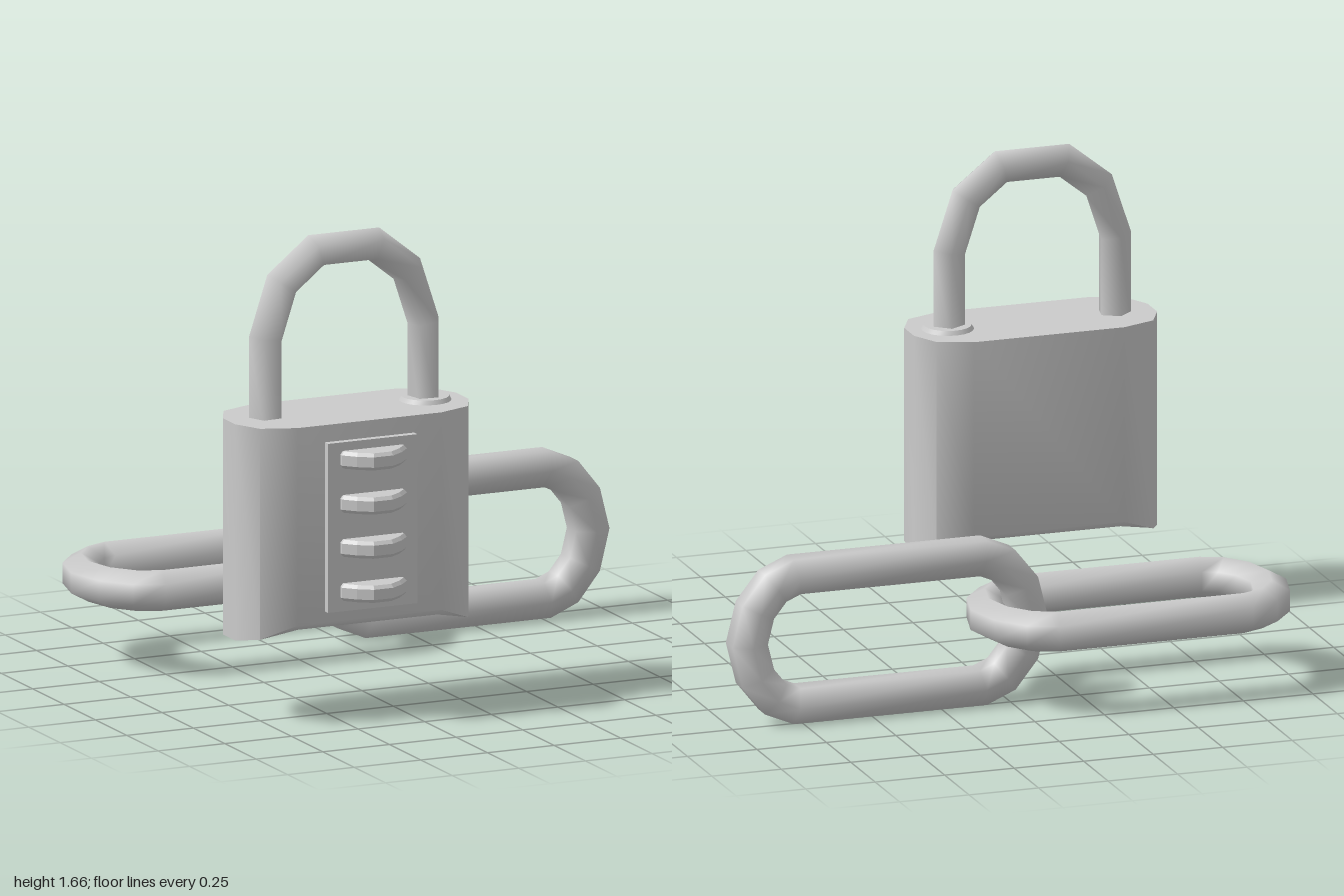
import * as THREE from 'three';
import { toCreasedNormals } from 'three/addons/utils/BufferGeometryUtils.js';

const material = new THREE.MeshStandardMaterial({ color: 0xcccccc, side: THREE.DoubleSide });

function addMesh(parent, name, geometry, x = 0, y = 0, z = 0) {
  const mesh = new THREE.Mesh(geometry, material);
  mesh.name = name;
  mesh.position.set(x, y, z);
  parent.add(mesh);
  return mesh;
}

// Skin a series of equal-sized rings of points
function loft(rings, closed = false) {
  const n = rings[0].length, index = [];
  const spans = closed ? rings.length : rings.length - 1;
  for (let k = 0; k < spans; k++) {
    const k2 = (k + 1) % rings.length;
    for (let i = 0; i < n; i++) {
      const j = (i + 1) % n;
      const a = k * n + i, b = k * n + j, c = k2 * n + i, d = k2 * n + j;
      index.push(a, b, c, b, d, c);
    }
  }
  const geometry = new THREE.BufferGeometry();
  geometry.setAttribute('position', new THREE.Float32BufferAttribute(rings.flat(2), 3));
  geometry.setIndex(index);
  geometry.computeVertexNormals();
  return geometry;
}

// Sweep a regular polygon along a clockwise path in the xy plane, with mitred corners
function sweep(path, radius, sides, turn, closed) {
  const pts = path.map(([x, y]) => new THREE.Vector2(x, y));
  const last = pts.length - 1;
  const rings = pts.map((p, k) => {
    const prev = closed || k > 0 ? pts[(k + last) % pts.length] : null;
    const next = closed || k < last ? pts[(k + 1) % pts.length] : null;
    const before = (prev ? p.clone().sub(prev) : next.clone().sub(p)).normalize();
    const after = (next ? next.clone().sub(p) : p.clone().sub(prev)).normalize();
    const along = before.clone().add(after).normalize();
    const mitre = 1 / along.dot(after);
    return Array.from({ length: sides }, (_, i) => {
      const t = turn + (i / sides) * Math.PI * 2;
      const h = radius * Math.cos(t) * mitre;
      return [p.x - along.y * h, p.y + along.x * h, radius * Math.sin(t)];
    });
  });
  return loft(rings, closed);
}

// Mirror a quarter outline into a full counter-clockwise loop
function mirrorQuarter(quarter) {
  const half = [...quarter, ...[...quarter].reverse().map(([x, y]) => [-x, y])];
  const full = [...half, ...[...half].reverse().map(([x, y]) => [x, -y])];
  return full.filter(([x, y], i) => {
    const [px, py] = full[(i + full.length - 1) % full.length];
    return Math.hypot(x - px, y - py) > 1e-6;
  });
}

function bodyGeometry() {
  const outline = mirrorQuarter([[0.4375, 0.05], [0.39, 0.145], [0.27, 0.19]]);
  // The lower edge dips towards both ends
  const edgeY = (x) => 0.29 + 0.065 * Math.min(1, (0.4375 - Math.abs(x)) / 0.1675);
  const ring = (sx, sz, y) => outline.map(([x, z]) => [x * sx, y(x), z * sz]);
  const rings = [
    ring(0, 0, () => 1.045),
    ring(1, 1, () => 1.045),
    ring(1, 1, edgeY),
    ring(0.97, 0.92, (x) => edgeY(x) - (Math.abs(x) < 0.3 ? 0.018 : 0)),
    ring(0.88, 0.84, () => 0.375),
    ring(0, 0, () => 0.375),
  ];
  return toCreasedNormals(loft(rings), 0.8);
}

function dialGeometry() {
  const shape = new THREE.Shape([
    [-0.112, -0.02], [-0.112, 0.01], [-0.078, 0.047], [-0.033, 0.078],
    [0.033, 0.078], [0.078, 0.047], [0.112, 0.01], [0.112, -0.02],
  ].map(([x, z]) => new THREE.Vector2(x, z)));
  const geometry = new THREE.ExtrudeGeometry(shape, {
    depth: 0.036, bevelEnabled: true, bevelThickness: 0.012, bevelSize: 0.01, bevelSegments: 1,
  });
  geometry.translate(0, 0, -0.018);
  geometry.rotateX(Math.PI / 2);
  return geometry;
}

export function createModel() {
  const model = new THREE.Group();
  model.name = 'padlockAndChain';

  // Padlock
  const padlock = new THREE.Group();
  padlock.name = 'padlock';
  model.add(padlock);
  addMesh(padlock, 'lockBody', bodyGeometry(), -0.4075, 0, 0.455);

  // Shackle, mirrored about its middle
  const leftSide = [[-0.298, 1.0], [-0.298, 1.32], [-0.238, 1.503], [-0.113, 1.603]];
  const arch = [...leftSide, ...[...leftSide].reverse().map(([x, y]) => [-x, y])];
  addMesh(padlock, 'shackle', sweep(arch, 0.058, 5, -0.21, false), -0.407, 0, 0.45);
  addMesh(padlock, 'shackleCollar',
    toCreasedNormals(new THREE.CylinderGeometry(0.082, 0.095, 0.025, 20), 0.6), -0.107, 1.0475, 0.45);

  // Combination panel and number dials
  addMesh(padlock, 'dialPlate', new THREE.BoxGeometry(0.335, 0.59, 0.04), -0.4075, 0.69, 0.651);
  const dial = dialGeometry();
  for (let i = 0; i < 4; i++) {
    addMesh(padlock, `dial${i + 1}`, dial, -0.4075, 0.925 - i * 0.154, 0.67);
  }

  // Two interlocked chain links
  const chain = new THREE.Group();
  chain.name = 'chain';
  model.add(chain);
  const linkPath = mirrorQuarter([[0.504, 0], [0.475, 0.117], [0.412, 0.196], [0.335, 0.229]]).reverse();
  const link = sweep(linkPath, 0.071, 6, Math.PI / 6 * 3, true);
  addMesh(chain, 'uprightLink', link, 0.435, 0.29, -0.4725);
  addMesh(chain, 'flatLink', link, -0.4335, 0.295, -0.4725).rotation.x = Math.PI / 2;

  return model;
}
